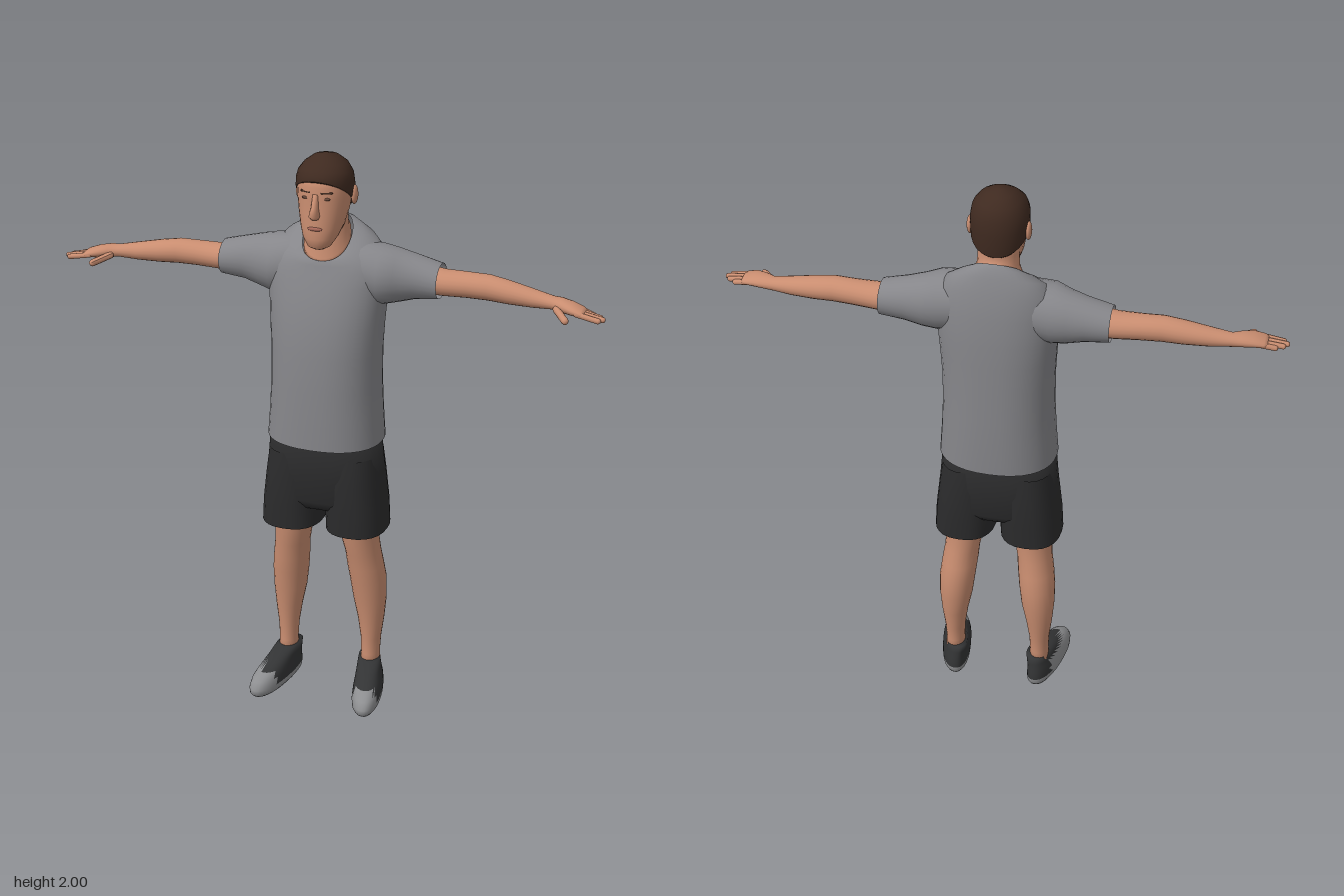
import * as THREE from 'three';

const mat = (name, color, side = THREE.FrontSide) => {
  const m = new THREE.MeshStandardMaterial({ color, side });
  m.name = name;
  return m;
};

// Lofted skin through elliptical rings [t, a, b, radiusA, radiusB, tilt].
// Axis y: a = x, b = z.  Axis x: a = z, b = y.  Rings are listed in rising t.
function loft(rows, { axis = 'y', n = 24, power = 2, caps = true, split = null } = {}) {
  const pos = [], main = [], second = [];
  const put = (a, t, b) => (axis === 'y' ? pos.push(a, t, b) : pos.push(t, b, a));
  const sp = v => Math.sign(v) * Math.abs(v) ** (2 / power);
  for (const [t, a, b, ra, rb, tilt = 0] of rows) {
    for (let i = 0; i < n; i++) {
      const w = (i / n) * Math.PI * 2, s = sp(Math.sin(w));
      put(a + ra * sp(Math.cos(w)), t + tilt * s, b + rb * s);
    }
  }
  const face = (...f) => {
    const c = [0, 1, 2].map(k => f.reduce((sum, v) => sum + pos[v * 3 + k], 0) / 3);
    (split && split(...c) ? second : main).push(...f);
  };
  for (let r = 0; r < rows.length - 1; r++) {
    for (let i = 0; i < n; i++) {
      const p = r * n + i, q = r * n + ((i + 1) % n);
      face(p, p + n, q);
      face(q, p + n, q + n);
    }
  }
  if (caps) {
    const last = rows.length - 1, c = rows.length * n;
    put(rows[0][1], rows[0][0], rows[0][2]);
    put(rows[last][1], rows[last][0], rows[last][2]);
    for (let i = 0; i < n; i++) {
      const j = (i + 1) % n;
      face(c, i, j);
      face(c + 1, last * n + j, last * n + i);
    }
  }
  const g = new THREE.BufferGeometry();
  g.setAttribute('position', new THREE.Float32BufferAttribute(pos, 3));
  g.setIndex([...main, ...second]);
  if (split) {
    g.addGroup(0, main.length, 0);
    g.addGroup(main.length, second.length, 1);
  }
  g.computeVertexNormals();
  return g;
}

// Centred rings given as [y, front z, back z, half width, tilt]
const body = rows => rows.map(([y, f, b, r, t]) => [y, 0, (f + b) / 2, r, (f - b) / 2, t]);

// Copy flipped to the -x side, with the corner order reversed
function mirrored(geo) {
  const g = geo.clone().scale(-1, 1, 1), ix = g.index.array;
  for (let i = 0; i < ix.length; i += 3) [ix[i], ix[i + 1]] = [ix[i + 1], ix[i]];
  g.computeVertexNormals();
  return g;
}

// Rounded rod between two points
function rod(a, b, r) {
  const p = new THREE.Vector3(...a), q = new THREE.Vector3(...b), d = q.clone().sub(p);
  const turn = new THREE.Quaternion().setFromUnitVectors(new THREE.Vector3(0, 1, 0), d.clone().normalize());
  return new THREE.CapsuleGeometry(r, d.length(), 4, 10).applyQuaternion(turn)
    .translate(...p.add(q).multiplyScalar(0.5).toArray());
}

const blob = (x, y, z, rx, ry, rz) => new THREE.SphereGeometry(1, 16, 10).scale(rx, ry, rz).translate(x, y, z);

export function createModel() {
  const model = new THREE.Group();
  model.name = 'standingMan';
  const skin = mat('skin', 0xc98d70), hair = mat('hair', 0x3f2a20);
  const shirt = mat('shirtGrey', 0x86868a, THREE.DoubleSide);
  const cloth = mat('shortsBlack', 0x2b2b2c, THREE.DoubleSide);
  const shoeDark = mat('shoeBlack', 0x333435), shoeGrey = mat('shoeGrey', 0x8d8e90);
  const lip = mat('lips', 0xa8695a), eye = mat('eyes', 0x6a4a3c);

  const add = (name, geo, material) => {
    const m = new THREE.Mesh(geo, material);
    m.name = name;
    model.add(m);
  };
  const pair = (name, geo, material) => {
    add('left' + name, geo, material);
    add('right' + name, mirrored(geo), material);
  };

  // Shirt with a scooped collar
  add('shirtBody', loft(body([
    [0.995, 0.145, -0.185, 0.203], [1.1, 0.143, -0.186, 0.195], [1.2, 0.14, -0.185, 0.19],
    [1.32, 0.134, -0.182, 0.19], [1.42, 0.122, -0.18, 0.196], [1.5, 0.105, -0.177, 0.202],
    [1.58, 0.088, -0.17, 0.205, -0.02], [1.645, 0.073, -0.153, 0.2, -0.04],
    [1.685, 0.064, -0.135, 0.165, -0.053], [1.708, 0.06, -0.122, 0.115, -0.06],
    [1.713, 0.055, -0.108, 0.082, -0.065],
  ]), { n: 36, power: 2.3, caps: false }), shirt);
  pair('Sleeve', loft([
    [0.1, -0.05, 1.6, 0.09, 0.1], [0.19, -0.05, 1.59, 0.1, 0.103], [0.24, -0.061, 1.588, 0.084, 0.092],
    [0.3, -0.066, 1.588, 0.072, 0.076], [0.385, -0.066, 1.582, 0.066, 0.06],
  ], { axis: 'x', caps: false }), shirt);

  // Shorts
  add('shortsSeat', loft(body([
    [0.745, 0.085, -0.12, 0.19], [0.78, 0.108, -0.145, 0.208],
    [0.88, 0.115, -0.15, 0.206], [1.03, 0.115, -0.14, 0.193],
  ]), { n: 32, power: 2.5 }), cloth);
  pair('ShortsLeg', loft([
    [0.662, 0.118, -0.018, 0.107, 0.126], [0.75, 0.114, -0.018, 0.106, 0.129],
    [0.86, 0.106, -0.018, 0.101, 0.13], [0.95, 0.1, -0.018, 0.096, 0.12],
  ], { power: 2.4, caps: false }), cloth);

  // Legs
  pair('Leg', loft([
    [0.08, 0.158, -0.05, 0.036, 0.046], [0.14, 0.157, -0.052, 0.033, 0.042],
    [0.2, 0.157, -0.055, 0.036, 0.045], [0.28, 0.156, -0.058, 0.047, 0.056],
    [0.36, 0.151, -0.058, 0.059, 0.067], [0.44, 0.146, -0.052, 0.064, 0.075],
    [0.5, 0.139, -0.041, 0.064, 0.074], [0.56, 0.132, -0.032, 0.062, 0.074],
    [0.64, 0.121, -0.018, 0.067, 0.078], [0.78, 0.112, -0.015, 0.08, 0.09],
  ]), skin);

  // Shoes: black uppers with grey toes and soles; the right outer side is grey too
  const shoe = split => {
    const g = loft([
      [0, 0.175, 0.035, 0.044, 0.143], [0.012, 0.175, 0.036, 0.052, 0.152], [0.03, 0.175, 0.036, 0.053, 0.154],
      [0.055, 0.175, 0.028, 0.051, 0.144], [0.075, 0.173, 0.008, 0.047, 0.12], [0.095, 0.17, -0.018, 0.043, 0.091],
      [0.12, 0.167, -0.045, 0.039, 0.06],
    ], { n: 36, power: 2.3, split });
    const p = g.attributes.position;
    for (let i = 0; i < p.count; i++) p.setX(i, p.getX(i) + 0.17 * (p.getZ(i) - 0.03));
    g.computeVertexNormals();
    return g;
  };
  const toeAndSole = (x, y, z) => z > 0.115 || y < 0.026;
  const outerToo = (x, y, z) => toeAndSole(x, y, z) || (x > 0.185 && y < 0.085 && z > -0.06);
  add('leftShoe', shoe(toeAndSole), [shoeDark, shoeGrey]);
  add('rightShoe', mirrored(shoe(outerToo)), [shoeDark, shoeGrey]);

  // Arms, palms, fingers and thumbs
  pair('Arm', loft([
    [0.3, -0.066, 1.585, 0.058, 0.05], [0.4, -0.064, 1.58, 0.054, 0.044], [0.48, -0.062, 1.582, 0.047, 0.043],
    [0.55, -0.058, 1.583, 0.045, 0.043], [0.62, -0.054, 1.576, 0.043, 0.039], [0.7, -0.049, 1.568, 0.036, 0.031],
    [0.77, -0.043, 1.563, 0.028, 0.022], [0.8, -0.033, 1.563, 0.035, 0.023], [0.84, -0.02, 1.56, 0.041, 0.02],
    [0.875, -0.013, 1.554, 0.039, 0.014], [0.885, -0.012, 1.552, 0.03, 0.008],
  ], { axis: 'x', n: 20 }), skin);
  [0.91, 0.934, 0.945, 0.933].forEach((tip, i) => {
    const z = -0.042 + i * 0.019;
    pair('Finger' + (i + 1), rod([0.86, 1.554, z], [tip, 1.541, z * 0.85 + 0.006], 0.0095), skin);
  });
  pair('Thumb', rod([0.79, 1.555, -0.005], [0.832, 1.54, 0.05], 0.012), skin);

  // Neck and head
  add('neck', loft(body([
    [1.69, 0.054, -0.106, 0.08, -0.065], [1.713, 0.052, -0.104, 0.079, -0.06], [1.74, 0.035, -0.095, 0.07, -0.03],
    [1.79, 0.035, -0.092, 0.068], [1.86, 0.03, -0.09, 0.065],
  ])), skin);
  add('head', loft(body([
    [1.695, 0.08, 0.045, 0.02], [1.705, 0.097, 0.01, 0.039], [1.735, 0.104, -0.02, 0.058],
    [1.77, 0.103, -0.06, 0.071], [1.82, 0.1, -0.09, 0.082], [1.87, 0.096, -0.098, 0.089],
    [1.91, 0.097, -0.1, 0.09], [1.935, 0.086, -0.096, 0.085], [1.96, 0.06, -0.075, 0.064], [1.975, 0.02, -0.03, 0.02],
  ]), { n: 28, power: 2.15 }), skin);
  add('hair', loft(body([
    [1.862, 0.096, -0.098, 0.092, 0.067], [1.866, 0.099, -0.104, 0.0955, 0.066], [1.91, 0.093, -0.108, 0.0965, 0.036],
    [1.942, 0.083, -0.105, 0.09, 0.018], [1.97, 0.063, -0.089, 0.071, 0.006],
    [1.99, 0.037, -0.056, 0.044], [1.999, 0.01, -0.02, 0.014],
  ]), { n: 28, power: 2.1 }), hair);

  // Face
  add('nose', loft([
    [1.806, 0, 0.1, 0.013, 0.014], [1.818, 0, 0.105, 0.018, 0.026],
    [1.845, 0, 0.1, 0.012, 0.02], [1.888, 0, 0.092, 0.009, 0.009],
  ], { n: 14 }), skin);
  add('mouth', blob(0, 1.772, 0.1, 0.026, 0.007, 0.007), lip);
  pair('Eye', blob(0.036, 1.873, 0.087, 0.013, 0.005, 0.005), eye);
  pair('Eyebrow', rod([0.02, 1.893, 0.092], [0.052, 1.893, 0.081], 0.0035), hair);
  pair('Ear', blob(0.096, 1.865, -0.02, 0.011, 0.033, 0.02).rotateY(0), skin);
  return model;
}
